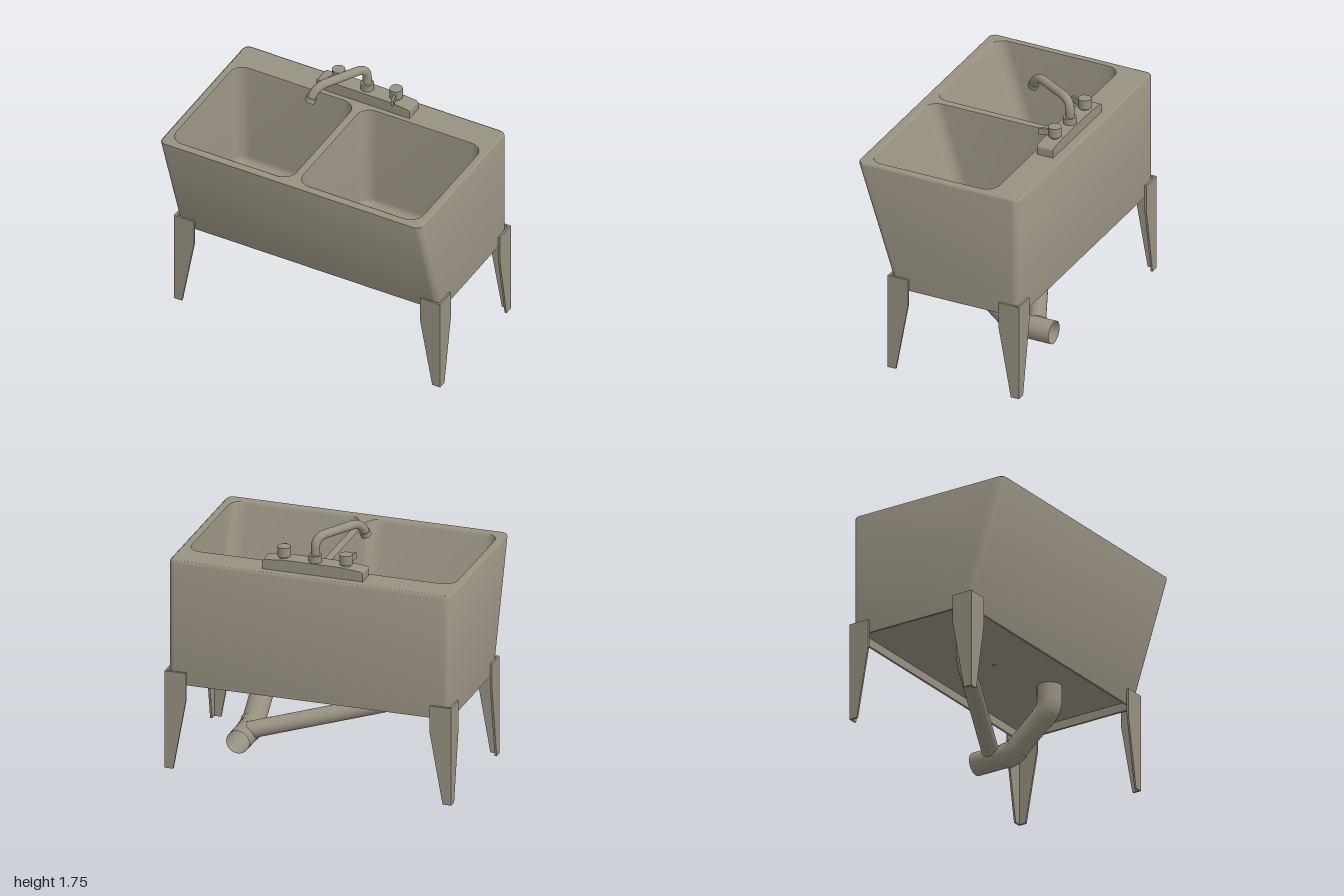
import * as THREE from 'three';
import { toCreasedNormals } from 'three/addons/utils/BufferGeometryUtils.js';

const V = (x, y, z) => new THREE.Vector3(x, y, z);

// Rounded rectangle ring in the xz plane, anticlockwise seen from above
function ring(x0, x1, z0, z1, r, y) {
  const pts = [];
  const corners = [[x1 - r, z0 + r], [x0 + r, z0 + r], [x0 + r, z1 - r], [x1 - r, z1 - r]];
  corners.forEach(([cx, cz], c) => {
    for (let i = 0; i <= 8; i++) {
      const a = (c + i / 8) * Math.PI / 2;
      pts.push(V(cx + r * Math.cos(a), y, cz - r * Math.sin(a)));
    }
  });
  return pts;
}

// Skin a list of rings with equal point counts
function loft(rings, crease = 0.7) {
  const n = rings[0].length, index = [];
  for (let k = 0; k < rings.length - 1; k++) {
    for (let j = 0; j < n; j++) {
      const a = k * n + j, b = k * n + (j + 1) % n;
      index.push(a, b, b + n, a, b + n, a + n);
    }
  }
  const geo = new THREE.BufferGeometry().setFromPoints(rings.flat());
  geo.setIndex(index);
  return toCreasedNormals(geo, crease);
}

// Straight runs joined by soft bends
function bentPath(points, bend) {
  const path = new THREE.CurvePath();
  let last = points[0];
  for (let i = 1; i < points.length - 1; i++) {
    const p = points[i];
    const a = p.clone().add(points[i - 1].clone().sub(p).setLength(bend));
    const b = p.clone().add(points[i + 1].clone().sub(p).setLength(bend));
    path.add(new THREE.LineCurve3(last, a));
    path.add(new THREE.QuadraticBezierCurve3(a, p, b));
    last = b;
  }
  path.add(new THREE.LineCurve3(last, points[points.length - 1]));
  return path;
}

export function createModel() {
  const model = new THREE.Group();
  model.name = 'utilitySink';
  const stone = new THREE.MeshStandardMaterial({ color: 0x979180, side: THREE.DoubleSide });
  stone.name = 'warmGrey';

  const add = (name, geo, parent = model) => {
    const mesh = new THREE.Mesh(geo, stone);
    mesh.name = name;
    parent.add(mesh);
    return mesh;
  };
  const pipe = (name, points, r, bend, parent) =>
    add(name, new THREE.TubeGeometry(bentPath(points, bend), 64, r, 24), parent);
  const cylinder = (name, r, y0, y1, x, z, parent) => {
    const geo = new THREE.CylinderGeometry(r, r, y1 - y0, 28);
    geo.translate(x, (y0 + y1) / 2, z);
    return add(name, geo, parent);
  };
  // Collar along the line from a to b
  const collar = (name, a, b, r, parent) =>
    add(name, new THREE.CylinderGeometry(r, r, a.distanceTo(b), 28, 1, true)
      .applyQuaternion(new THREE.Quaternion().setFromUnitVectors(V(0, 1, 0), b.clone().sub(a).normalize()))
      .translate((a.x + b.x) / 2, (a.y + b.y) / 2, (a.z + b.z) / 2), parent);

  // Tub: recessed underside, sloping front, rounded top edge
  const TOP = 1.475, BASE = 0.6;
  const outer = (y, inset = 0) => ring(-0.985 + inset, 0.98 - inset, -0.59 + inset,
    0.325 + (y - BASE) * 0.3257 - inset, 0.05 - inset, y);
  const rim = outer(TOP, 0.015);
  add('tubShell', loft([
    ring(-0.01, 0.01, -0.14, -0.12, 0.01, 0.66), outer(0.66, 0.015), outer(BASE, 0.015), outer(BASE),
    outer(1.46), outer(1.469, 0.004), rim,
  ]));

  // Basins with soft lips, sloping fronts and floors falling to the drain
  const flat = pts => pts.map(p => new THREE.Vector2(p.x, -p.z));
  const deck = new THREE.Shape(flat(rim));
  for (const [x0, x1, drainX] of [[-0.93, -0.035, -0.495], [0.025, 0.92, 0.488]]) {
    const inner = (y, inset, r) => ring(x0 + inset, x1 - inset, -0.37 + inset,
      0.545 - (TOP - y) * 0.31 - inset, r, y);
    const lip = inner(TOP, -0.012, 0.1);
    const rings = [lip, inner(1.471, -0.004, 0.095), inner(1.455, 0, 0.09)];
    for (let i = 0; i <= 6; i++) {
      const a = i / 6 * Math.PI / 2;
      rings.push(inner(0.75 - 0.05 * Math.sin(a), 0.01 + 0.05 * (1 - Math.cos(a)), 0.09));
    }
    const d = (r, y) => ring(drainX - r, drainX + r, -0.027 - r, -0.027 + r, r, y);
    rings.push(d(0.09, 0.69), d(0.042, 0.68));
    add('basin', loft(rings));
    cylinder('drain', 0.042, 0.67, 0.682, drainX, -0.027);
    deck.holes.push(new THREE.Path(flat(lip)));
  }
  add('rimDeck', new THREE.ShapeGeometry(deck).rotateX(-Math.PI / 2).translate(0, TOP, 0));

  // Legs: tapered angle brackets at the corners
  const plate = new THREE.Shape([[0, 0], [0.06, 0], [0.15, 0.5], [0.15, 0.69], [0, 0.69]]
    .map(p => new THREE.Vector2(...p)));
  const T = 0.014;
  for (const sx of [-1, 1]) {
    for (const [name, sz, z] of [['frontLeg', 1, 0.365], ['backLeg', -1, -0.605]]) {
      const leg = new THREE.Group();
      leg.name = name;
      const face = new THREE.ExtrudeGeometry(plate, { depth: T, bevelEnabled: false });
      const side = face.clone().rotateY(-Math.PI / 2).translate(T, 0, 0);
      // turn each plate so it runs inward from the outer corner
      const f = add('facePlate', face, leg);
      f.rotation.y = sx > 0 ? Math.PI : 0;
      f.position.set(sx, 0, z + (sx > 0 ? (sz > 0 ? 0 : T) : (sz > 0 ? -T : 0)));
      const s = add('sidePlate', side, leg);
      s.rotation.y = sz > 0 ? Math.PI : 0;
      s.position.set(sx + (sz > 0 ? (sx > 0 ? 0 : T) : (sx > 0 ? -T : 0)), 0, z);
      model.add(leg);
    }
  }

  // Faucet
  const faucet = new THREE.Group();
  faucet.name = 'faucet';
  model.add(faucet);
  const base = new THREE.Shape();
  base.moveTo(-0.355, 1.47);
  base.lineTo(0.348, 1.47);
  base.lineTo(0.348, 1.525);
  base.quadraticCurveTo(0.346, 1.54, 0.33, 1.542);
  base.lineTo(0.2, 1.555);
  base.lineTo(-0.207, 1.555);
  base.lineTo(-0.337, 1.542);
  base.quadraticCurveTo(-0.353, 1.54, -0.355, 1.525);
  add('faucetBase', new THREE.ExtrudeGeometry(base, { depth: 0.12, bevelEnabled: false }).translate(0, 0, -0.525), faucet);

  for (const [x, s] of [[-0.22, -1], [0.212, 1]]) {
    cylinder('knobStem', 0.03, 1.545, 1.57, x, -0.47, faucet);
    cylinder('knob', 0.044, 1.566, 1.633, x, -0.47, faucet);
    const lever = add('knobLever', new THREE.BoxGeometry(0.018, 0.045, 0.11).translate(0, 0, 0.055), faucet);
    lever.position.set(x, 1.588, -0.47);
    lever.rotation.y = s * 0.26;
  }

  cylinder('spoutCollar', 0.045, 1.545, 1.602, -0.005, -0.47, faucet);
  const along = (t, y) => V(-0.005 - 0.22 * t, y, -0.47 + 0.385 * t);
  pipe('spout', [along(0, 1.59), along(0, 1.725), along(0.9, 1.725), along(1, 1.625)], 0.03, 0.085, faucet);
  const tip = add('spoutTip', new THREE.CylinderGeometry(0.036, 0.036, 0.035, 24), faucet);
  tip.position.copy(along(0.985, 1.637));
  tip.quaternion.setFromUnitVectors(V(0, 1, 0), along(0.9, 1.725).sub(along(1, 1.625)).normalize());

  // Drain pipes
  const plumbing = new THREE.Group();
  plumbing.name = 'plumbing';
  model.add(plumbing);
  pipe('crossPipe', [V(-0.495, 0.67, -0.027), V(-0.495, 0.467, -0.027), V(0.47, 0.285, -0.47)], 0.058, 0.08, plumbing);

  const X = 0.49;
  const upper = V(X, 0.5, -0.02), lower = V(X, 0.25, -0.315), end = V(X, 0.25, -0.605);
  const slope = lower.clone().sub(upper).normalize();
  const upperEnd = upper.clone().addScaledVector(slope, 0.08);
  const lowerStart = lower.clone().addScaledVector(slope, -0.05);
  collar('drainCollar', V(X, 0.67, -0.02), V(X, 0.57, -0.02), 0.084, plumbing);
  pipe('upperElbow', [V(X, 0.6, -0.02), upper, upperEnd], 0.083, 0.06, plumbing);
  collar('slopingPipe', upper, lower, 0.078, plumbing);
  pipe('lowerElbow', [lowerStart, lower, V(X, 0.25, -0.37)], 0.085, 0.045, plumbing);
  collar('wallPipe', V(X, 0.25, -0.33), end, 0.08, plumbing);

  return model;
}
